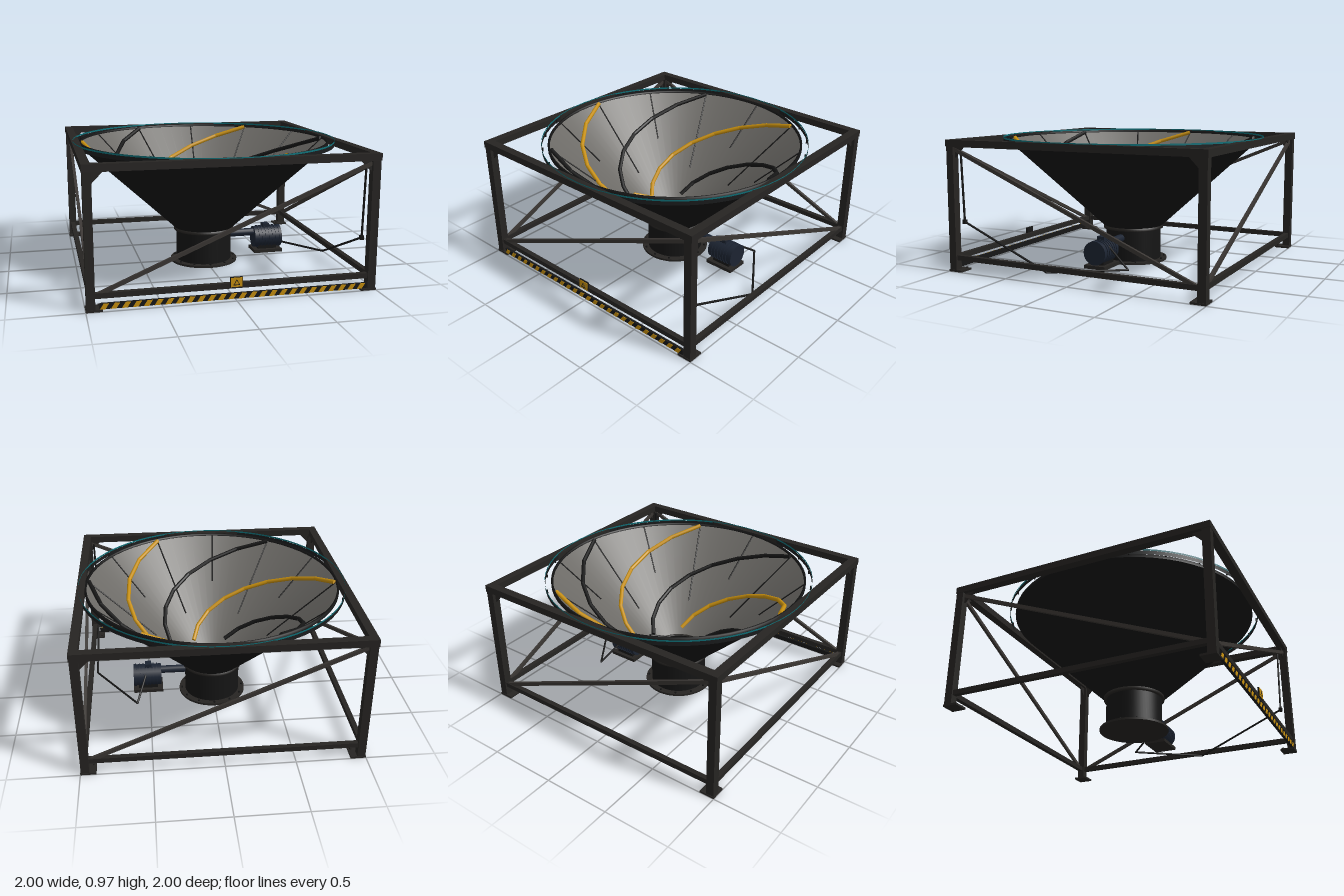
import * as THREE from 'three';

const mat = (color, side = THREE.FrontSide) => new THREE.MeshStandardMaterial({ color, side });
const STEEL = mat(0x262422), BRACE = mat(0x3a3633), DARK = mat(0x161616), SHELL = mat(0x151515, THREE.DoubleSide);
const LINER = mat(0x6c6a66, THREE.DoubleSide), YELLOW = mat(0xc8900f), NAVY = mat(0x1c2432);
const TEAL = mat(0x0f7078, THREE.DoubleSide), HOOP = mat(0x1a1c1d, THREE.DoubleSide);

const V = (x, y, z) => new THREE.Vector3(x, y, z);

function add(parent, name, geo, material, x = 0, y = 0, z = 0) {
  const m = new THREE.Mesh(geo, material);
  m.name = name;
  m.position.set(x, y, z);
  parent.add(m);
  return m;
}
const box = (p, name, m, w, h, d, x, y, z) => add(p, name, new THREE.BoxGeometry(w, h, d), m, x, y, z);
const disc = (p, name, m, r, h, x, y, z, n = 48) => add(p, name, new THREE.CylinderGeometry(r, r, h, n), m, x, y, z);

// Straight round bar between two points
function rod(parent, name, a, b, r, material, sides = 8) {
  const d = b.clone().sub(a);
  const m = add(parent, name, new THREE.CylinderGeometry(r, r, d.length(), sides), material);
  m.position.copy(a).add(b).multiplyScalar(0.5);
  m.quaternion.setFromUnitVectors(V(0, 1, 0), d.normalize());
}

// Chain of straight bars with rounded joints
function polyline(parent, name, pts, r, material) {
  const g = new THREE.Group();
  g.name = name;
  for (let i = 1; i < pts.length; i++) {
    rod(g, name + 'Segment', pts[i - 1], pts[i], r, material);
    if (i < pts.length - 1) add(g, name + 'Joint', new THREE.SphereGeometry(r, 8, 6), material, ...pts[i].toArray());
  }
  parent.add(g);
}

function flatShape(points, depth) {
  const s = new THREE.Shape(points.map(([x, y]) => new THREE.Vector2(x, y)));
  return new THREE.ExtrudeGeometry(s, { depth, bevelEnabled: false });
}

// Hopper cone: height of the inner surface at a radius, and a point on it
const coneY = r => 0.28 + (r - 0.215) * (0.665 / 0.72);
const onCone = (r, angle, lift) => V(r * Math.cos(angle), coneY(r) + lift, r * Math.sin(angle));

function buildFrame() {
  const frame = new THREE.Group();
  frame.name = 'frame';
  for (const x of [-1, 1]) for (const z of [-1, 1]) {
    box(frame, 'post', STEEL, 0.058, 0.93, 0.058, x * 0.967, 0.465, z * 0.967);
    box(frame, 'footPlate', STEEL, 0.11, 0.014, 0.11, x * 0.945, 0.007, z * 0.945);
    disc(frame, 'footBolt', STEEL, 0.009, 0.012, x * 0.91, 0.019, z * 0.91, 6);
  }
  // Every side is the same: two beams, one diagonal, two corner gussets
  for (let i = 0; i < 4; i++) {
    const side = new THREE.Group();
    side.name = 'frameSide';
    side.rotation.y = i * Math.PI / 2;
    box(side, 'topBeam', STEEL, i % 2 ? 1.88 : 2, 0.05, 0.06, 0, 0.935, 0.97);
    box(side, 'lowerBeam', STEEL, 1.88, 0.036, 0.036, 0, 0.103, 0.967);
    const dir = i % 2 ? -1 : 1;
    const a = V(-0.94 * dir, 0.1, 0.967), b = V(0.94 * dir, 0.89, 0.967);
    const brace = box(side, 'diagonalBrace', BRACE, a.distanceTo(b), 0.026, 0.022, 0, 0.495, 0.967);
    brace.rotation.z = Math.atan2(b.y - a.y, b.x - a.x);
    for (const s of [-1, 1])
      add(side, 'gusset', flatShape([[s * 0.94, 0.912], [s * 0.86, 0.912], [s * 0.94, 0.83]], 0.012), STEEL, 0, 0, 0.961);
    frame.add(side);
  }
  return frame;
}

function buildHopper() {
  const hopper = new THREE.Group();
  hopper.name = 'hopper';
  const lathe = (name, pts, m) => add(hopper, name, new THREE.LatheGeometry(pts.map(p => new THREE.Vector2(...p)), 64), m);
  lathe('outerCone', [[0.225, 0.268], [0.945, 0.93]], SHELL);
  lathe('innerLiner', [[0.93, coneY(0.93)], [0.215, coneY(0.215)]], LINER);
  lathe('rim', [[0.945, 0.93], [0.945, 0.955], [0.93, 0.955], [0.93, 0.938]], SHELL);
  lathe('rimHoop', [[0.99, 0.925], [0.99, 0.955]], HOOP);
  lathe('lightStrip', [[0.991, 0.955], [0.991, 0.967]], TEAL);
  for (let i = 0; i < 24; i++) {
    const t = (i + 0.5) * Math.PI / 12;
    disc(hopper, 'rimBolt', DARK, 0.006, 0.03, 0.982 * Math.cos(t), 0.94, 0.982 * Math.sin(t), 6);
  }

  // Outlet neck with flanges
  lathe('neck', [[0.213, 0.01], [0.213, 0.27]], SHELL);
  lathe('neckCollar', [[0.213, 0.25], [0.232, 0.25], [0.232, 0.272], [0.213, 0.282], [0.205, 0.272]], STEEL);
  disc(hopper, 'outletFlange', STEEL, 0.26, 0.016, 0, 0.008, 0);
  disc(hopper, 'outletGate', NAVY, 0.208, 0.01, 0, 0.06, 0);
  for (let i = 0; i < 12; i++) {
    const t = i * Math.PI / 6;
    disc(hopper, 'flangeBolt', DARK, 0.008, 0.012, 0.24 * Math.cos(t), 0.02, 0.24 * Math.sin(t), 6);
  }

  // Spiral vanes in alternating colours, and radial ribs of two lengths
  const start = THREE.MathUtils.degToRad(5.8), sweep = THREE.MathUtils.degToRad(-126);
  for (let k = 0; k < 6; k++) {
    const pts = [];
    for (let j = 0; j <= 8; j++)
      pts.push(onCone(0.922 - 0.672 * j / 8, start + k * Math.PI / 3 + sweep * j / 8, 0.012));
    polyline(hopper, 'spiralVane', pts, 0.016, k % 2 ? YELLOW : DARK);
  }
  for (let k = 0; k < 12; k++) {
    const t = start + k * Math.PI / 6;
    rod(hopper, 'linerRib', onCone(0.928, t, 0.003), onCone(k % 2 ? 0.62 : 0.43, t, 0.003), 0.006, DARK, 6);
  }
  return hopper;
}

function buildDrive() {
  const drive = new THREE.Group();
  drive.name = 'drive';
  // Lathe-like motor lying along x
  const along = (name, r, x0, x1, y, n = 24, m = NAVY) => {
    disc(drive, name, m, r, x1 - x0, (x0 + x1) / 2, y, 0, n).rotation.z = Math.PI / 2;
  };
  along('driveShaft', 0.03, 0.2, 0.42, 0.195, 16);
  along('motorBody', 0.083, 0.405, 0.61, 0.155);
  for (let i = 0; i < 6; i++) along('coolingRib', 0.089, 0.435 + i * 0.027, 0.443 + i * 0.027, 0.155);
  along('fanCover', 0.088, 0.6, 0.622, 0.155);
  box(drive, 'terminalBox', NAVY, 0.05, 0.04, 0.06, 0.505, 0.242, 0);
  box(drive, 'motorFoot', DARK, 0.15, 0.04, 0.11, 0.51, 0.078, 0);
  box(drive, 'motorBase', STEEL, 0.23, 0.025, 0.17, 0.51, 0.052, 0);

  // Power cable from the frame down to the motor
  polyline(drive, 'cable', [V(0.92, 0.9, 0.93), V(0.915, 0.36, 0.915), V(0.92, 0.06, 0.21),
    V(0.6, 0.06, -0.26), V(0.51, 0.22, -0.03)], 0.008, DARK);
  box(drive, 'cableClamp', DARK, 0.026, 0.03, 0.026, 0.915, 0.36, 0.915);
  return drive;
}

function buildSafetyMarkings() {
  const safety = new THREE.Group();
  safety.name = 'safetyMarkings';
  // Striped guard strip along the front
  const x0 = -0.91, length = 1.84, count = 26, pitch = length / count;
  box(safety, 'guardStrip', DARK, length, 0.038, 0.02, x0 + length / 2, 0.035, 0.984);
  const stripe = flatShape([[0, 0], [pitch * 0.5, 0], [pitch * 0.5 + 0.025, 0.038], [0.025, 0.038]], 0.004);
  for (let i = 0; i < count; i++) add(safety, 'guardStripe', stripe, YELLOW, x0 + i * pitch, 0.016, 0.993);

  // Warning plate with a triangle outline
  box(safety, 'signBacking', DARK, 0.086, 0.07, 0.012, -0.003, 0.13, 0.986);
  box(safety, 'signPlate', YELLOW, 0.08, 0.064, 0.005, -0.003, 0.13, 0.993);
  const tri = k => [[-0.024 * k, -0.017 * k], [0.024 * k, -0.017 * k], [0, 0.025 * k]].map(p => new THREE.Vector2(...p));
  const outline = new THREE.Shape(tri(1));
  outline.holes.push(new THREE.Path(tri(0.68).reverse()));
  add(safety, 'signTriangle', new THREE.ExtrudeGeometry(outline, { depth: 0.002, bevelEnabled: false }), DARK, -0.003, 0.127, 0.995);
  return safety;
}

export function createModel() {
  const model = new THREE.Group();
  model.name = 'hopperOnFrame';
  model.add(buildFrame(), buildHopper(), buildDrive(), buildSafetyMarkings());
  return model;
}
